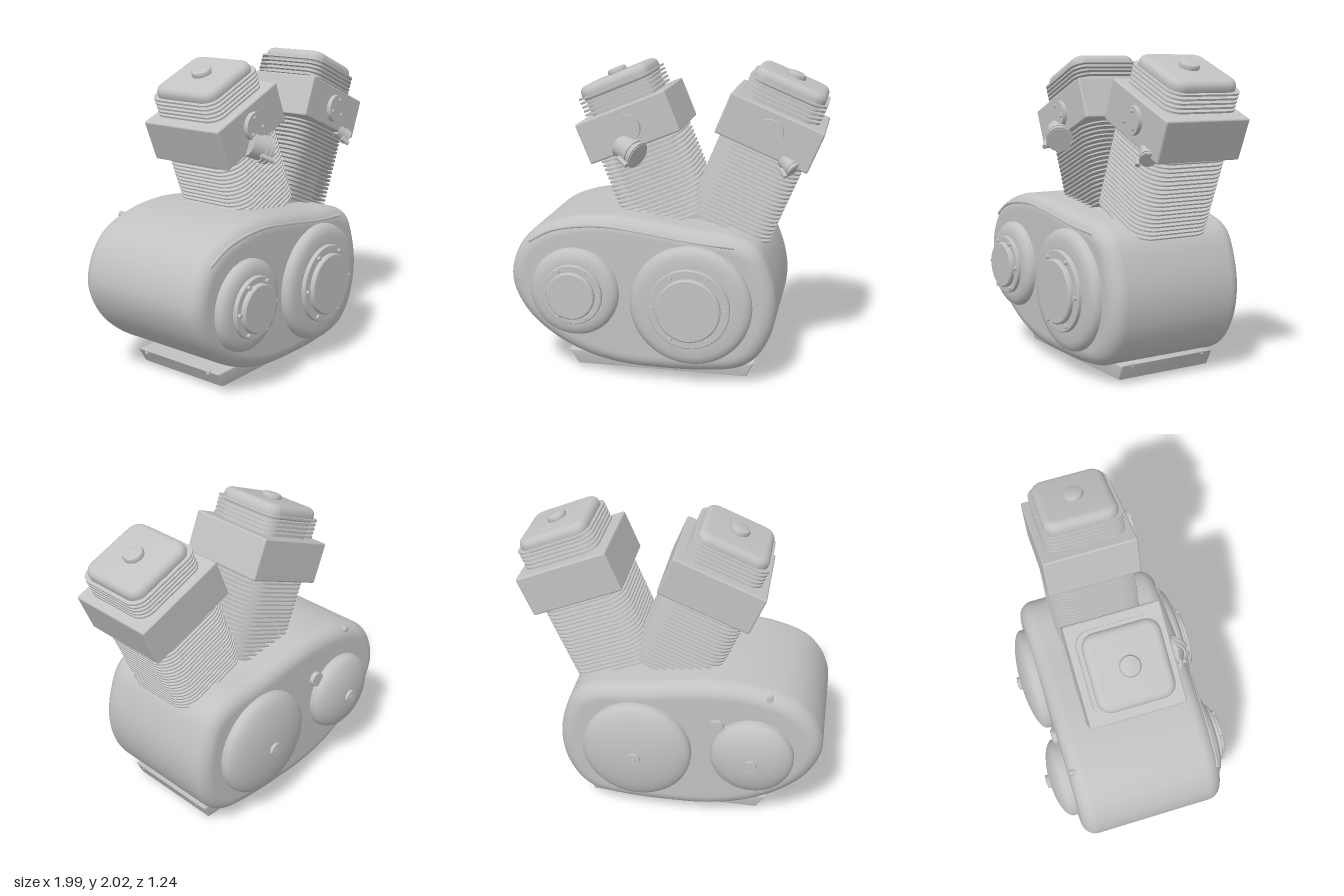
import * as THREE from 'three';
import { toCreasedNormals } from 'three/addons/utils/BufferGeometryUtils.js';
import { RoundedBoxGeometry } from 'three/addons/geometries/RoundedBoxGeometry.js';

const metal = new THREE.MeshStandardMaterial({ color: 0xc2c2c2 });
metal.name = 'cast metal';

function add(parent, name, geometry, x = 0, y = 0, z = 0) {
  const mesh = new THREE.Mesh(geometry, metal);
  mesh.name = name;
  mesh.position.set(x, y, z);
  parent.add(mesh);
  return mesh;
}

// Horizontal slab with rounded corners, rising from y = 0
function slab(half, radius, height, bevel = 0, segments = 6) {
  const s = new THREE.Shape();
  const i = half - radius;
  [[i, i, 0], [-i, i, 1], [-i, -i, 2], [i, -i, 3]].forEach(([x, y, q]) =>
    s.absarc(x, y, radius, q * Math.PI / 2, (q + 1) * Math.PI / 2, false));
  const g = new THREE.ExtrudeGeometry(s, {
    depth: height - bevel, bevelEnabled: bevel > 0, bevelSize: bevel,
    bevelThickness: bevel, bevelOffset: -bevel, bevelSegments: 5, curveSegments: segments,
  });
  g.rotateX(-Math.PI / 2);
  return toCreasedNormals(g, 0.6);
}

// Lathe turned so its axis runs along z; points are [radius, height]
function turned(points, dir = 1) {
  const g = new THREE.LatheGeometry(points.map(([r, h]) => new THREE.Vector2(r, h)), 56);
  g.rotateX(dir * Math.PI / 2);
  return toCreasedNormals(g.toNonIndexed(), 0.6);
}

// Disc or bolt with its axis along z
function disc(radius, depth, sides = 32) {
  return new THREE.CylinderGeometry(radius, radius, depth, sides).rotateX(Math.PI / 2);
}

function crankcase(model) {
  const outline = [[-1, 0.64], [-0.96, 0.83], [-0.84, 0.98], [-0.62, 1.07], [-0.35, 1.1], [-0.1, 1.08],
    [0.2, 1.035], [0.48, 1.0], [0.61, 0.93], [0.69, 0.77], [0.73, 0.56], [0.7, 0.36], [0.61, 0.2],
    [0.5, 0.125], [0.3, 0.09], [0, 0.08], [-0.28, 0.095], [-0.52, 0.155], [-0.75, 0.275], [-0.92, 0.44]];
  const curve = new THREE.CatmullRomCurve3(outline.map(([x, y]) => new THREE.Vector3(x, y, 0)), true);
  const shape = new THREE.Shape(curve.getPoints(96).slice(0, -1).map(p => new THREE.Vector2(p.x, p.y)));
  const b = 0.1;
  const g = new THREE.ExtrudeGeometry(shape, {
    depth: 0.968 - 2 * b, bevelSize: b, bevelThickness: b, bevelOffset: -b, bevelSegments: 10,
  });
  add(model, 'crankcase', toCreasedNormals(g, 0.6), 0, 0, -0.475 + b);

  // Raised crease along the front shoulder
  const crease = new THREE.CatmullRomCurve3([[-0.86, 0.91, 0.475], [-0.7, 0.995, 0.48], [-0.4, 1.037, 0.48],
    [-0.12, 1.01, 0.48], [0.2, 0.965, 0.48], [0.47, 0.945, 0.482]].map(p => new THREE.Vector3(...p)));
  add(model, 'shoulderCrease', new THREE.TubeGeometry(crease, 48, 0.012, 8));
}

// Stepped front cover with a bolted ring and centre disc
function frontCover(model, name, x, y, r, ring, centre, boltRing) {
  const g = new THREE.Group();
  g.name = name;
  g.position.set(x, y, 0.48);
  add(g, 'coverShell', turned([[r, 0], [r, 0.03], [r - 0.01, 0.05], [r - 0.03, 0.066], [r - 0.06, 0.075],
    [ring + 0.01, 0.078], [ring, 0.078], [ring, 0.1], [ring - 0.005, 0.105], [centre, 0.105],
    [centre, 0.128], [centre - 0.008, 0.136], [0, 0.136]]));
  for (let i = 0; i < 6; i++) {
    const a = i * Math.PI / 3;
    add(g, 'coverBolt', disc(0.014, 0.03, 10), boltRing * Math.cos(a), boltRing * Math.sin(a), 0.108);
  }
  model.add(g);
}

// Domed back cover with a centre knob
function backCover(model, name, x, y, r, depth) {
  const g = new THREE.Group();
  g.name = name;
  g.position.set(x, y, -0.47);
  const profile = [[r, 0], [r, 0.03]];
  for (let i = 1; i <= 12; i++) {
    const a = i / 12 * Math.PI / 2;
    profile.push([r * Math.cos(a), 0.03 + (depth - 0.03) * Math.sin(a)]);
  }
  add(g, 'dome', turned(profile, -1));
  add(g, 'domeKnob', disc(0.045, 0.05), 0, 0, -depth + 0.005);
  add(g, 'domeScrew', disc(0.02, 0.05, 6), 0, 0, -depth + 0.001);
  model.add(g);
}

function sump(model) {
  // Tray narrowing towards the bottom along x
  const s = new THREE.Shape([[-0.65, 0.13], [-0.59, 0.03], [0.54, 0.03], [0.59, 0.13]]
    .map(p => new THREE.Vector2(...p)));
  const g = new THREE.ExtrudeGeometry(s, {
    depth: 0.66, bevelSize: 0.012, bevelThickness: 0.012, bevelOffset: -0.012, bevelSegments: 2,
  });
  add(model, 'sumpTray', toCreasedNormals(g, 0.5), 0, 0, -0.325);
  add(model, 'drainPlug', new THREE.CylinderGeometry(0.034, 0.034, 0.04, 6), -0.035, 0.02, 0.005);
  for (const x of [-0.645, 0.575]) for (const z of [-0.26, 0.27])
    add(model, 'trayBolt', new THREE.CylinderGeometry(0.015, 0.015, 0.02, 10), x, 0.125, z);
}

// Finned cylinder, head and rocker cover along a tilted axis from the crank
function cylinder(model, name, tilt) {
  const g = new THREE.Group();
  g.name = name;
  g.position.set(0.2, 0.555, 0.005);
  g.rotation.z = tilt;
  add(g, 'barrel', slab(0.215, 0.1, 0.64), 0, 0.42);
  const fin = slab(0.284, 0.13, 0.01);
  for (let i = 0; i < 19; i++) add(g, 'barrelFin', fin, 0, 0.495 + i * 0.0285);
  add(g, 'headBlock', new RoundedBoxGeometry(0.627, 0.273, 0.6, 2, 0.012), 0, 1.169);
  add(g, 'rockerCore', slab(0.222, 0.08, 0.16), 0, 1.3);
  const rockerFin = slab(0.258, 0.09, 0.012);
  for (let i = 0; i < 5; i++) add(g, 'rockerFin', rockerFin, 0, 1.322 + i * 0.027);
  add(g, 'rockerCover', slab(0.236, 0.085, 0.06, 0.045, 8), 0, 1.445);
  add(g, 'fillerCap', toCreasedNormals(new THREE.LatheGeometry([[0.05, 0], [0.062, 0.006], [0.065, 0.02],
    [0.058, 0.034], [0.045, 0.039], [0, 0.039]].map(p => new THREE.Vector2(...p)), 32).toNonIndexed(), 0.7), 0, 1.498);
  // Port flange with three bolts
  add(g, 'portFlange', disc(0.09, 0.04), 0, 1.169, 0.31);
  for (let i = 0; i < 3; i++) {
    const a = Math.PI / 2 + i * Math.PI * 2 / 3;
    add(g, 'portBolt', disc(0.012, 0.02, 8), 0.06 * Math.cos(a), 1.169 + 0.06 * Math.sin(a), 0.333);
  }
  model.add(g);
}

// Short pipe stub with a clamp collar, pointing along dir
function pipeStub(model, name, pos, dir, r, length) {
  const g = new THREE.Group();
  g.name = name;
  g.position.set(...pos);
  g.quaternion.setFromUnitVectors(new THREE.Vector3(0, 1, 0), new THREE.Vector3(...dir).normalize());
  add(g, 'pipe', new THREE.CylinderGeometry(r * 0.88, r * 0.88, length, 28));
  for (const k of [0.18, 0.4])
    add(g, 'clampRing', new THREE.CylinderGeometry(r, r, length * 0.14, 28), 0, k * length);
  const lug = add(g, 'clampScrew', new THREE.CylinderGeometry(0.016, 0.016, length * 0.6, 10), 0, 0.25 * length, r + 0.012);
  lug.rotation.x = 0.2;
  model.add(g);
}

export function createModel() {
  const model = new THREE.Group();
  model.name = 'engine';
  crankcase(model);
  frontCover(model, 'largeFrontCover', 0.2, 0.555, 0.39, 0.26, 0.205, 0.232);
  frontCover(model, 'smallFrontCover', -0.555, 0.6, 0.29, 0.197, 0.155, 0.175);
  backCover(model, 'largeBackCover', 0.2, 0.56, 0.36, 0.13);
  backCover(model, 'smallBackCover', -0.555, 0.6, 0.27, 0.13);
  add(model, 'backBoss', disc(0.05, 0.05), -0.32, 0.8, -0.48);
  add(model, 'backBolt', disc(0.02, 0.06, 10), -0.65, 1.03, -0.435);
  sump(model);
  const tilt = Math.PI / 8;
  cylinder(model, 'rightCylinder', tilt);
  cylinder(model, 'leftCylinder', -tilt);
  pipeStub(model, 'intakePipe', [-0.225, 1.5, 0.33], [0.82, -0.36, 0.4], 0.088, 0.15);
  pipeStub(model, 'exhaustStub', [0.77, 1.44, 0.29], [0.6, -0.5, 0.35], 0.052, 0.1);
  return model;
}
